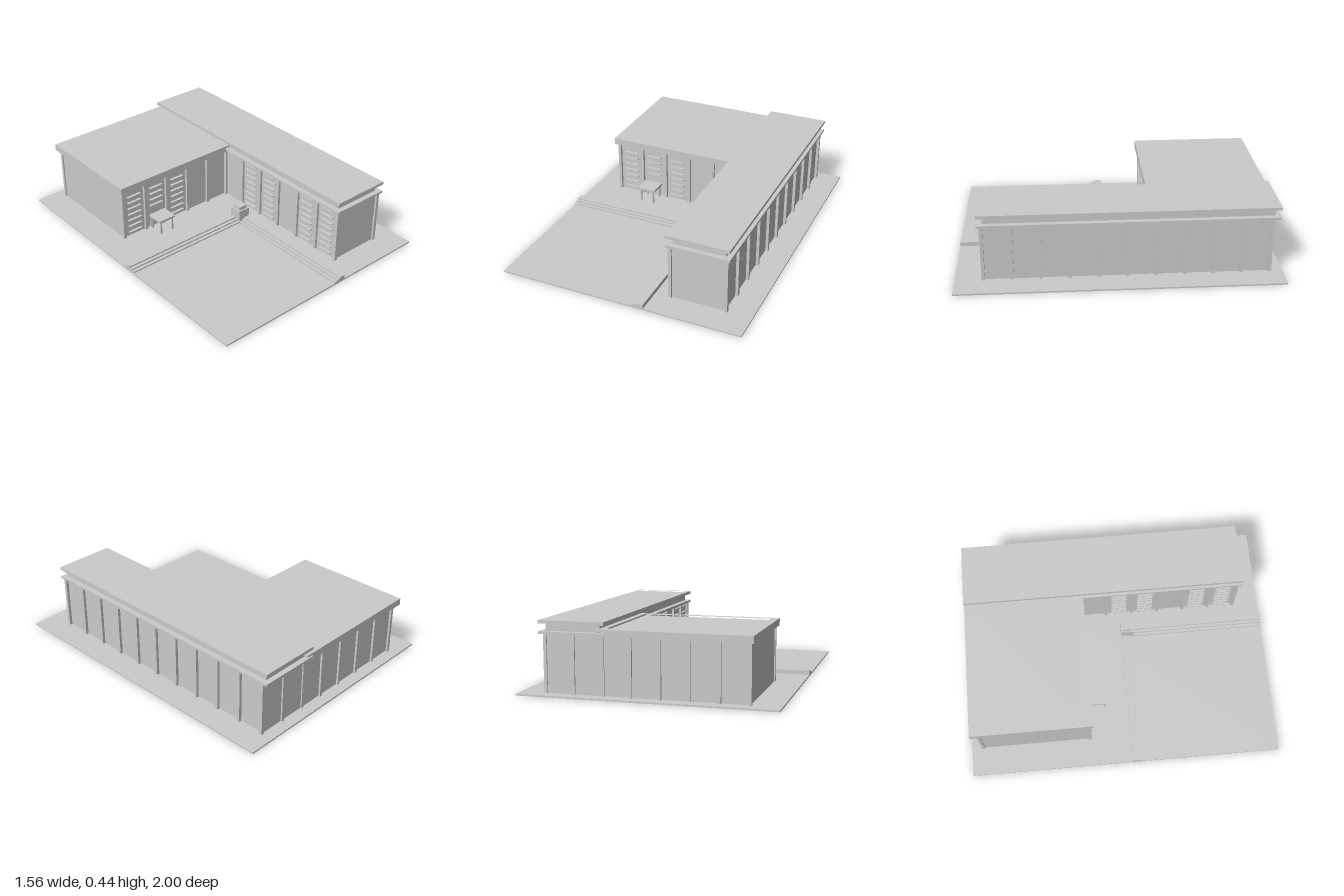
import * as THREE from 'three';

const material = new THREE.MeshStandardMaterial({ color: 0xcccccc, flatShading: true });

// Box given by its two extents on each axis
function box(parent, name, x0, x1, y0, y1, z0, z1) {
  const mesh = new THREE.Mesh(new THREE.BoxGeometry(x1 - x0, y1 - y0, z1 - z0), material);
  mesh.position.set((x0 + x1) / 2, (y0 + y1) / 2, (z0 + z1) / 2);
  mesh.name = name;
  parent.add(mesh);
  return mesh;
}

// Raised rim around a flat roof
function rim(parent, name, x0, x1, y0, y1, z0, z1, wx, wz) {
  const shape = new THREE.Shape([
    new THREE.Vector2(x0, -z0), new THREE.Vector2(x1, -z0),
    new THREE.Vector2(x1, -z1), new THREE.Vector2(x0, -z1)]);
  shape.holes.push(new THREE.Path([
    new THREE.Vector2(x0 + wx, -z0 - wz), new THREE.Vector2(x1 - wx, -z0 - wz),
    new THREE.Vector2(x1 - wx, -z1 + wz), new THREE.Vector2(x0 + wx, -z1 + wz)]));
  const geometry = new THREE.ExtrudeGeometry(shape, { depth: y1 - y0, bevelEnabled: false });
  geometry.rotateX(-Math.PI / 2);
  const mesh = new THREE.Mesh(geometry, material);
  mesh.position.y = y0;
  mesh.name = name;
  parent.add(mesh);
}

function group(parent, name) {
  const g = new THREE.Group();
  g.name = name;
  parent.add(g);
  return g;
}

const GROUND = 0.01, EAVES = 0.365, BAY = 0.1745;
const columnX = (i) => -0.6 + i * BAY;
const columnZ = (i) => 0.825 - i * BAY;

function column(parent, x, z) {
  box(parent, 'column', x - 0.01, x + 0.01, GROUND, EAVES, z - 0.01, z + 0.01);
}

// Stack of thin sun shades; alongZ turns it to a wall facing -x
function louvers(parent, centre, wall, alongZ, lowest = 0) {
  for (let i = 0; i < 8; i++) {
    const y = 0.04 + i * 0.0437;
    if (y < lowest) continue;
    if (alongZ) box(parent, 'louver', wall - 0.018, wall + 0.005, y - 0.003, y + 0.003, centre - 0.05, centre + 0.05);
    else box(parent, 'louver', centre - 0.05, centre + 0.05, y - 0.003, y + 0.003, wall - 0.005, wall + 0.018);
  }
}

export function createModel() {
  const model = new THREE.Group();
  model.name = 'courtyardBuilding';
  box(model, 'groundSlab', -0.782, 0.782, 0, GROUND, -1, 1);

  // Long wing with a double-slab flat roof
  const long = group(model, 'longWing');
  box(long, 'longWalls', 0.272, 0.612, GROUND, EAVES, -0.922, 0.822);
  box(long, 'lowerRoofSlab', 0.243, 0.643, EAVES, 0.38, -0.968, 0.848);
  box(long, 'roofRecess', 0.277, 0.61, 0.38, 0.426, -0.935, 0.815);
  box(long, 'upperRoofSlab', 0.243, 0.643, 0.426, 0.436, -0.968, 0.848);
  rim(long, 'longRoofRim', 0.243, 0.643, 0.436, 0.445, -0.968, 0.848, 0.033, 0.03);
  for (let i = 0; i <= 10; i++) {
    column(long, 0.62, columnZ(i));
    if (i <= 6 || i === 10) column(long, 0.266, columnZ(i));
  }
  column(long, 0.446, -0.922);

  // Lower square wing with a parapet roof
  const low = group(model, 'lowWing');
  box(low, 'lowWalls', -0.602, 0.275, GROUND, EAVES, -0.922, -0.232);
  box(low, 'lowRoofSlab', -0.626, 0.243, 0.36, 0.39, -0.968, -0.195);
  rim(low, 'lowRoofRim', -0.626, 0.29, 0.39, 0.404, -0.968, -0.195, 0.049, 0.049);
  for (let i = 0; i <= 4; i++) {
    column(low, columnX(i), -0.225);
    column(low, columnX(i), -0.925);
  }

  // Sun shades facing the courtyard
  const shades = group(model, 'sunShades');
  for (let i = 0; i < 3; i++) louvers(shades, columnX(i + 0.5), -0.232, false, i === 1 ? 0.13 : 0);
  for (const i of [0, 1, 3, 4]) louvers(shades, columnZ(i + 0.5), 0.272, true);

  // Entrance canopy on four slim posts
  const entrance = group(model, 'entrance');
  box(entrance, 'canopy', -0.405, -0.28, 0.1, 0.115, -0.215, -0.1);
  box(entrance, 'door', -0.385, -0.3, GROUND, 0.095, -0.235, -0.228);
  for (const x of [-0.388, -0.297])
    for (const z of [-0.205, -0.112])
      box(entrance, 'canopyPost', x - 0.005, x + 0.005, GROUND, 0.1, z - 0.005, z + 0.005);

  // Low stepped kerbs meeting at a corner pillar
  const kerbs = group(model, 'steppedKerbs');
  for (let i = 0; i < 3; i++) {
    const y0 = GROUND + i * 0.009, y1 = y0 + 0.009;
    box(kerbs, 'courtStep', -0.782, 0.09, y0, y1, 0.04, 0.125 - i * 0.021);
    box(kerbs, 'sideStep', 0.085 + i * 0.021, 0.17, y0, y1, 0.115, 1);
  }
  box(kerbs, 'cornerPillar', 0.086, 0.17, GROUND, 0.097, 0.04, 0.124);
  box(kerbs, 'pillarCap', 0.096, 0.159, 0.097, 0.12, 0.051, 0.113);

  return model;
}
